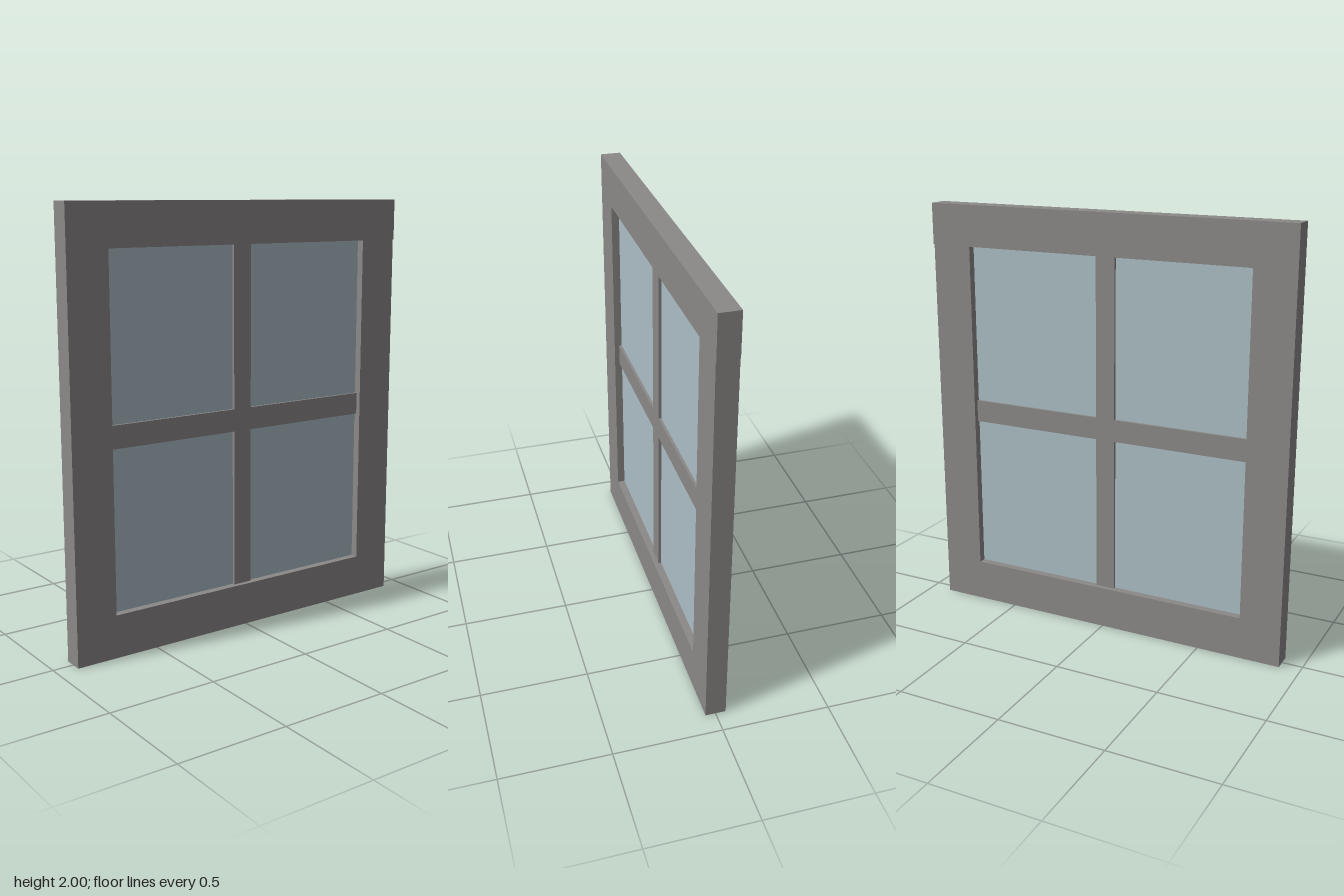
import * as THREE from 'three';

export function createModel() {
  const group = new THREE.Group();
  const wood = new THREE.MeshStandardMaterial({ color: 0x8c8888 });
  const glass = new THREE.MeshStandardMaterial({ color: 0xadbfc6 });

  // Box centred on x = 0, given its thickness and its y and z extents
  function panel(name, thickness, y0, y1, z0, z1, material = wood) {
    const mesh = new THREE.Mesh(new THREE.BoxGeometry(thickness, y1 - y0, z1 - z0), material);
    mesh.position.set(0, (y0 + y1) / 2, (z0 + z1) / 2);
    mesh.name = name;
    group.add(mesh);
  }

  const frameDepth = 0.095, barDepth = 0.048, glassDepth = 0.022;
  const front = 0.902, back = -0.897; // stile outer faces
  const openFront = 0.706, openBack = -0.7; // opening along z
  const openBottom = 0.2, openTop = 1.805; // opening along y

  // Outer frame: the top rail overhangs the back stile slightly
  panel('topRail', frameDepth, openTop, 2, -0.902, front);
  panel('bottomRail', frameDepth, 0, openBottom, back, front);
  panel('frontStile', frameDepth, openBottom, openTop, openFront, front);
  panel('backStile', frameDepth, openBottom, openTop, back, openBack);

  // Glazing bars, split around the crossing so that no faces overlap
  const barZ = [-0.043, 0.051], barY = [0.945, 1.05];
  panel('verticalBar', barDepth, openBottom, openTop, ...barZ);
  panel('horizontalBarBack', barDepth, ...barY, openBack, barZ[0]);
  panel('horizontalBarFront', barDepth, ...barY, barZ[1], openFront);

  // Four glass panes
  for (const [y0, y1] of [[openBottom, barY[0]], [barY[1], openTop]])
    for (const [z0, z1] of [[openBack, barZ[0]], [barZ[1], openFront]])
      panel('glassPane', glassDepth, y0, y1, z0, z1, glass);

  return group;
}
